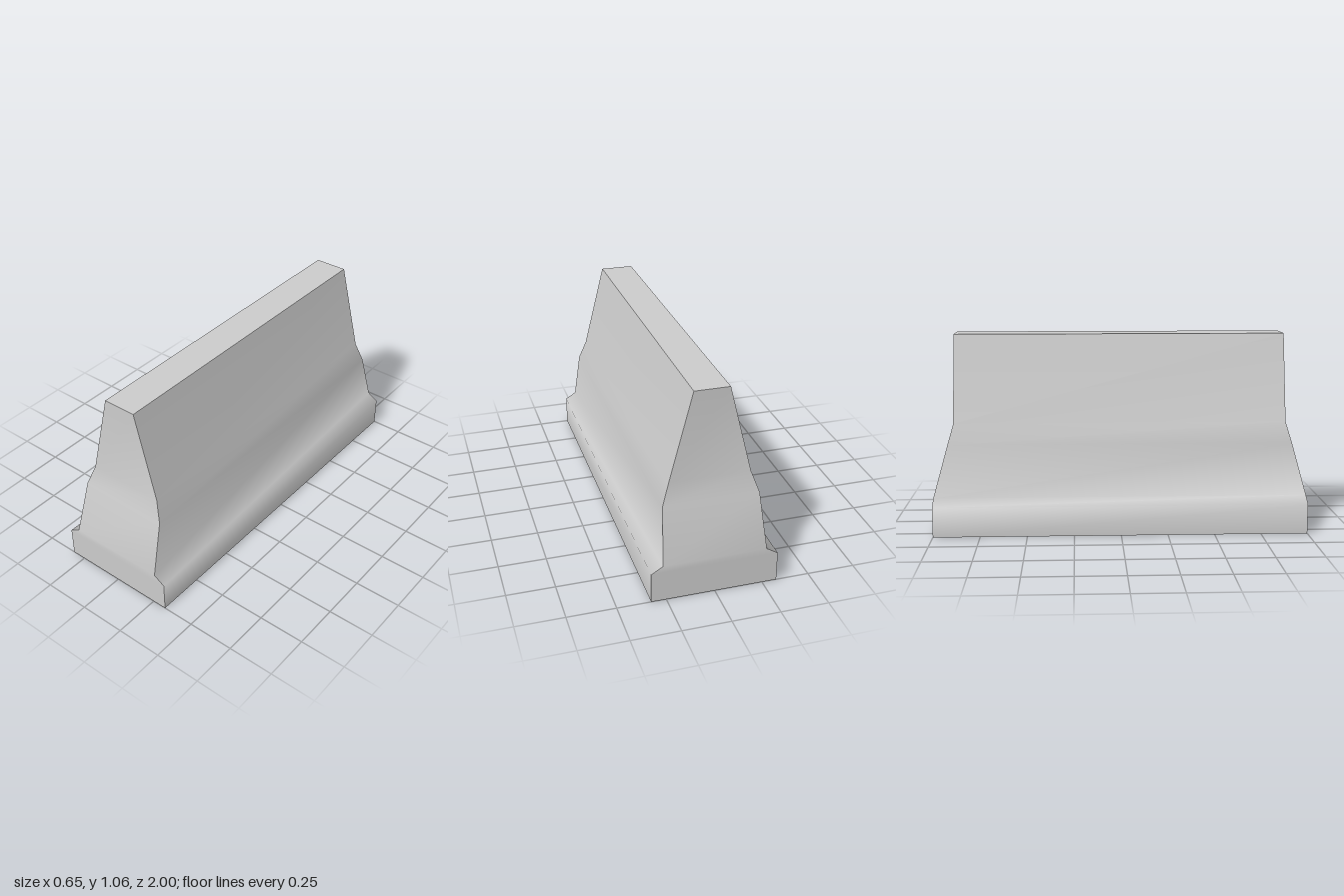
import * as THREE from 'three';
import { toCreasedNormals } from 'three/addons/utils/BufferGeometryUtils.js';

// Rectangular cross-sections from the ground up: [height, half width, half length]
const SECTIONS = [
  [0, 0.327, 1],
  [0.16, 0.327, 1],
  [0.197, 0.267, 1],
  [0.48, 0.247, 0.92],
  [0.59, 0.208, 0.89],
  [1.056, 0.09, 0.89],
];

// Stacks the sections into a closed solid
function loftSections(sections) {
  const positions = [];
  const index = [];
  for (const [y, x, z] of sections) {
    positions.push(x, y, z, x, y, -z, -x, y, -z, -x, y, z);
  }
  const quad = (a, b, c, d) => index.push(a, b, c, a, c, d);
  const last = (sections.length - 1) * 4;
  for (let row = 0; row < last; row += 4) {
    for (let k = 0; k < 4; k++) {
      const next = (k + 1) % 4;
      quad(row + k, row + next, row + 4 + next, row + 4 + k);
    }
  }
  quad(3, 2, 1, 0); // underside
  quad(last, last + 1, last + 2, last + 3); // flat top

  const geometry = new THREE.BufferGeometry();
  geometry.setAttribute('position', new THREE.Float32BufferAttribute(positions, 3));
  geometry.setIndex(index);
  // Profile bends blend smoothly; corners and the top rim stay sharp
  return toCreasedNormals(geometry, THREE.MathUtils.degToRad(65));
}

export function createModel() {
  const group = new THREE.Group();
  group.name = 'roadBarrier';

  const barrier = new THREE.Mesh(
    loftSections(SECTIONS),
    new THREE.MeshStandardMaterial({ color: 0xcccccc })
  );
  barrier.name = 'concreteBody';
  group.add(barrier);

  return group;
}
